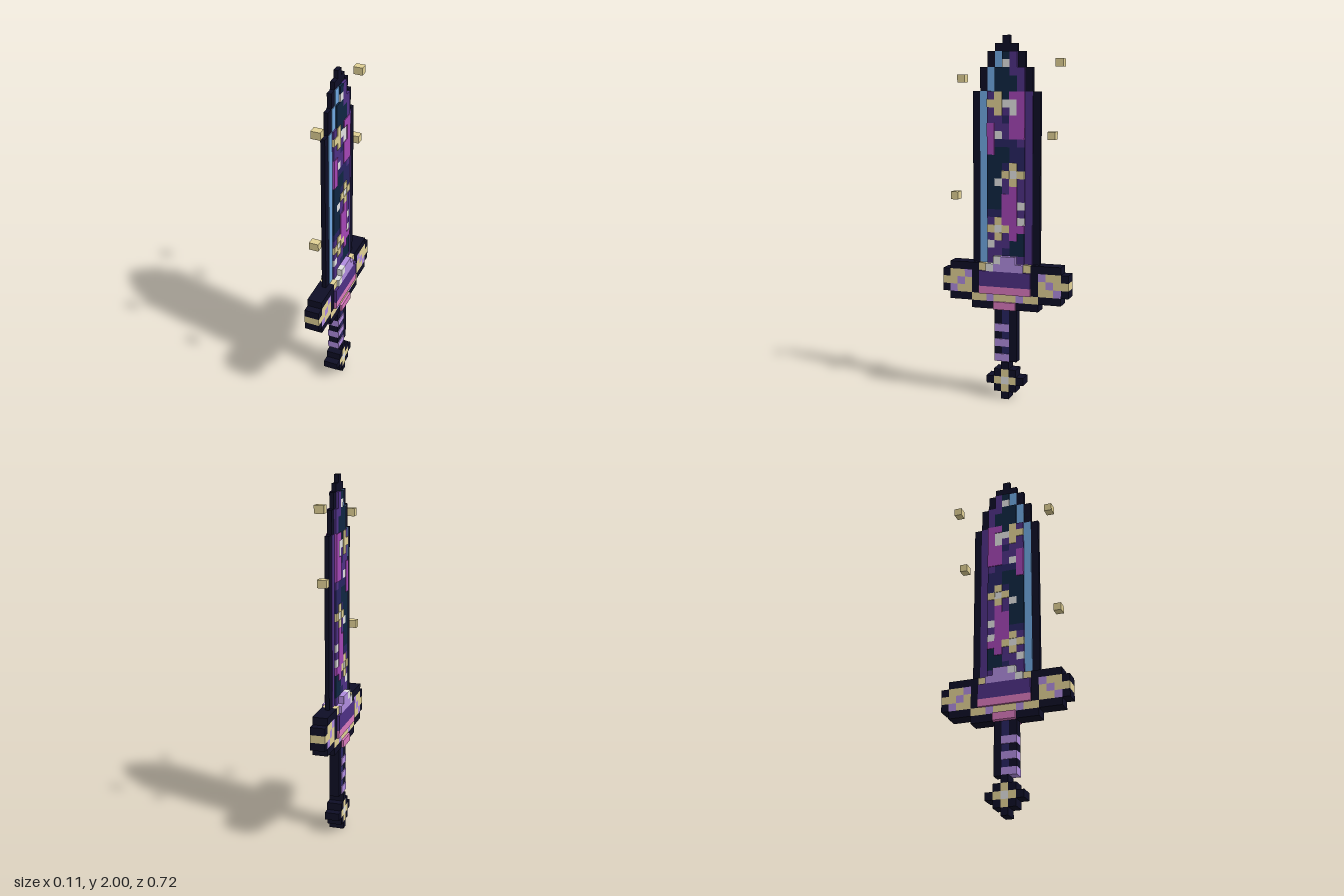
import * as THREE from 'three';
import { mergeGeometries } from 'three/addons/utils/BufferGeometryUtils.js';

const U = 2 / 47; // one block
const mat = (name, color) => Object.assign(new THREE.MeshStandardMaterial({ color }), { name });
const colours = {
  K: mat('ink', 0x0e0e26),
  T: mat('teal', 0x0f2642),
  N: mat('navy', 0x282562),
  P: mat('purple', 0x4f3186),
  M: mat('magenta', 0xa546b6),
  L: mat('lilac', 0xb18de0),
  R: mat('pink', 0xdc7abf),
  B: mat('skyBlue', 0x70a9e3),
  Y: mat('paleGold', 0xe2d296),
  W: mat('starWhite', 0xe2e2e2),
};

// Builds a part from rows of blocks (first letter is the front, +z).
// halfX(letter, column) gives half the thickness of a block.
function blockPart(name, topRow, rows, halfX) {
  const part = new THREE.Group();
  part.name = name;
  const boxes = {};
  rows.forEach((row, r) => {
    const mid = (row.length - 1) / 2;
    for (let i = 0; i < row.length;) {
      const key = row[i];
      const half = halfX(key, i - mid);
      let end = i + 1;
      while (end < row.length && row[end] === key && halfX(key, end - mid) === half) end++;
      if (key !== '.') {
        const box = new THREE.BoxGeometry(2 * half, U, (end - i) * U);
        box.translate(0, 2 - (topRow + r + 0.5) * U, (mid - (i + end - 1) / 2) * U);
        (boxes[key] ??= []).push(box);
      }
      i = end;
    }
  });
  for (const key in boxes) {
    const mesh = new THREE.Mesh(mergeGeometries(boxes[key]), colours[key]);
    mesh.name = `${name} ${colours[key].name}`;
    part.add(mesh);
  }
  return part;
}

export function createModel() {
  const sword = new THREE.Group();
  sword.name = 'sword';

  // Blade: thin dark rim, bevelled edges, thicker starry middle
  const bladeHalf = (key, col) => {
    if (key === 'K') return 0.012;
    if (key === 'B' || Math.abs(col) === 3) return 0.016;
    return key === 'M' || key === 'Y' ? 0.029 : 0.025;
  };
  const tip = ['K', 'KKK', 'KBTPK', 'KBWPK', 'KBTTPPK', 'KBTTTPK', 'KBTTTPK'];
  const sky = [
    'PYTMM', 'YYWWM', 'PYPWM', 'PPNMM', 'MPPMM', 'MWPMM', 'MNNNP',
    'MTTNN', 'TTTNN', 'TTNYN', 'TTYWY', 'TWPYP', 'TTPMP', 'TTMMP',
    'TTMMW', 'NNMMP', 'PYMMW', 'YWYMM', 'PYPMT', 'WPPTT', 'PPNTT', 'PPPPP',
  ];
  sword.add(blockPart('blade', 0, [...tip, ...sky.map((s) => `KB${s}PK`)], bladeHalf));

  // Crossguard wings and gold trim
  sword.add(blockPart('crossguard', 29, [
    '.KKKKY.....YKKKK.',
    'KYYLK.......KLYYK',
    'YYLYK.......KYLYY',
    'KLYYK.......KYYLK',
    '.KKKYYLYYYLYYKKK.',
    '....KKK...KKK....',
  ], () => 0.0415));

  // Raised centre of the crossguard
  sword.add(blockPart('guardCentre', 28, [
    'WLL', '.WLLLL.', 'PPPPPPP', 'PPPPPPP', 'RRRRRRR', '.', 'RRR',
  ], () => 0.055));

  // Wrapped grip
  sword.add(blockPart('grip', 35, [
    'KNK', 'KNK', 'LLK', 'KNK', 'LLK', 'KNK', 'LLK',
  ], (key) => (key === 'L' ? 0.032 : 0.027)));

  // Star pommel
  sword.add(blockPart('pommel', 42, ['K', 'KYK', 'KYWYK', 'KYK', 'K'], () => 0.0415));

  // Floating sparks around the blade: [y, z]
  [[1.77, 0.255], [1.855, -0.298], [1.47, -0.255], [1.13, 0.298]].forEach(([y, z]) => {
    const spark = new THREE.Mesh(new THREE.BoxGeometry(0.052, U, U), colours.Y);
    spark.name = 'spark';
    spark.position.set(0, y, z);
    sword.add(spark);
  });

  return sword;
}
